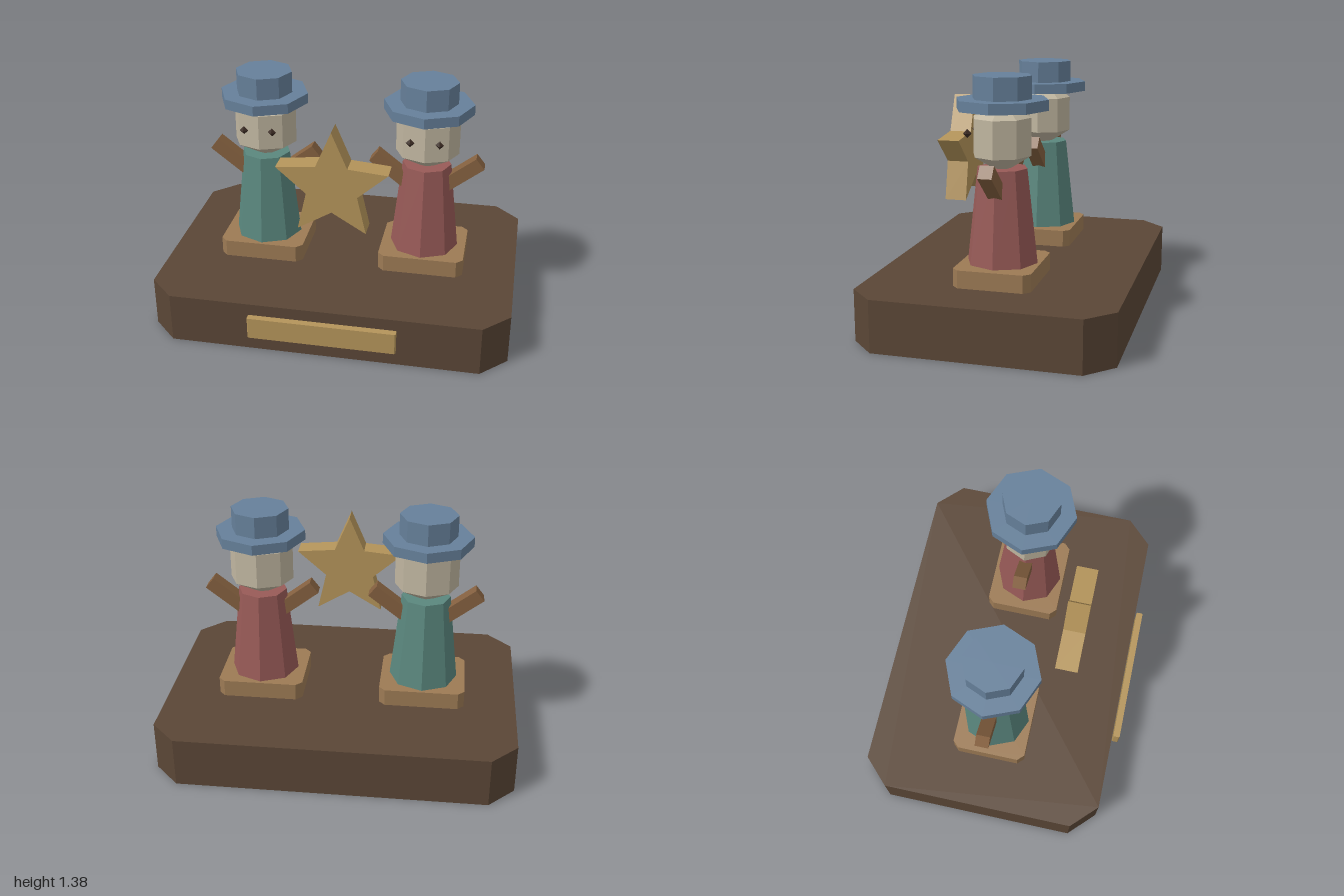
import * as THREE from 'three';

const material = (color) => new THREE.MeshStandardMaterial({ color, flatShading: true });
const mats = {
  base: material(0x5a4636), plinth: material(0x9c7a54), gold: material(0xb4945a),
  teal: material(0x5a877e), red: material(0x985a57), skin: material(0xc0b6a0),
  hat: material(0x66809a), arm: material(0x84603f), eye: material(0x3a2a22),
};

function add(parent, name, geometry, mat, x = 0, y = 0, z = 0) {
  const mesh = new THREE.Mesh(geometry, mat);
  mesh.name = name;
  mesh.position.set(x, y, z);
  parent.add(mesh);
  return mesh;
}

// Slab standing on y = 0 with its four vertical corners cut off
function cutCornerSlab(width, height, depth, cut) {
  const w = width / 2, d = depth / 2;
  const outline = [
    [w, -d + cut], [w, d - cut], [w - cut, d], [-w + cut, d],
    [-w, d - cut], [-w, -d + cut], [-w + cut, -d], [w - cut, -d],
  ].map(([x, y]) => new THREE.Vector2(x, y));
  return new THREE.ExtrudeGeometry(new THREE.Shape(outline), { depth: height, bevelEnabled: false })
    .rotateX(-Math.PI / 2);
}

function starGeometry(outer, inner, depth) {
  const points = [];
  for (let i = 0; i < 10; i++) {
    const a = Math.PI / 2 + (i * Math.PI) / 5;
    const r = i % 2 ? inner : outer;
    points.push(new THREE.Vector2(r * Math.cos(a), r * Math.sin(a)));
  }
  return new THREE.ExtrudeGeometry(new THREE.Shape(points), { depth, bevelEnabled: false })
    .translate(0, 0, -depth / 2);
}

function createFigure(name, bodyMat) {
  const figure = new THREE.Group();
  figure.name = name;
  add(figure, 'plinth', cutCornerSlab(0.485, 0.097, 0.423, 0.035), mats.plinth, 0, 0.285);
  add(figure, 'body', new THREE.CylinderGeometry(0.137, 0.194, 0.51, 8), bodyMat, 0, 0.637);

  const head = add(figure, 'head', new THREE.SphereGeometry(1, 8, 3), mats.skin, 0, 1.06);
  head.scale.set(0.205, 0.2, 0.182);

  // Hat
  add(figure, 'hatBrim', new THREE.CylinderGeometry(0.25, 0.25, 0.057, 8), mats.hat, 0, 1.228);
  add(figure, 'hatCrown', new THREE.CylinderGeometry(0.16, 0.16, 0.122, 8), mats.hat, 0, 1.317);

  // Raised arms and eyes, mirrored
  for (const side of [-1, 1]) {
    const label = side > 0 ? 'left' : 'right';
    const arm = add(figure, label + 'Arm', new THREE.BoxGeometry(0.238, 0.077, 0.075),
      mats.arm, side * 0.205, 0.848);
    arm.rotation.z = side * 0.66;
    add(figure, label + 'Eye', new THREE.OctahedronGeometry(0.024), mats.eye, side * 0.08, 1.077, 0.166);
  }
  return figure;
}

export function createModel() {
  const model = new THREE.Group();
  model.name = 'figurePairOnBase';

  add(model, 'base', cutCornerSlab(2, 0.285, 1.39, 0.143), mats.base, 0, 0, -0.023);
  add(model, 'plaque', cutCornerSlab(0.815, 0.124, 0.038, 0.005), mats.gold, 0, 0.101, 0.701);
  add(model, 'star', starGeometry(0.321, 0.147, 0.122), mats.gold, 0, 0.893, 0.335);

  for (const [name, x, mat] of [['rightFigure', -0.464, mats.teal], ['leftFigure', 0.464, mats.red]]) {
    const figure = createFigure(name, mat);
    figure.position.set(x, 0, -0.022);
    model.add(figure);
  }
  return model;
}
